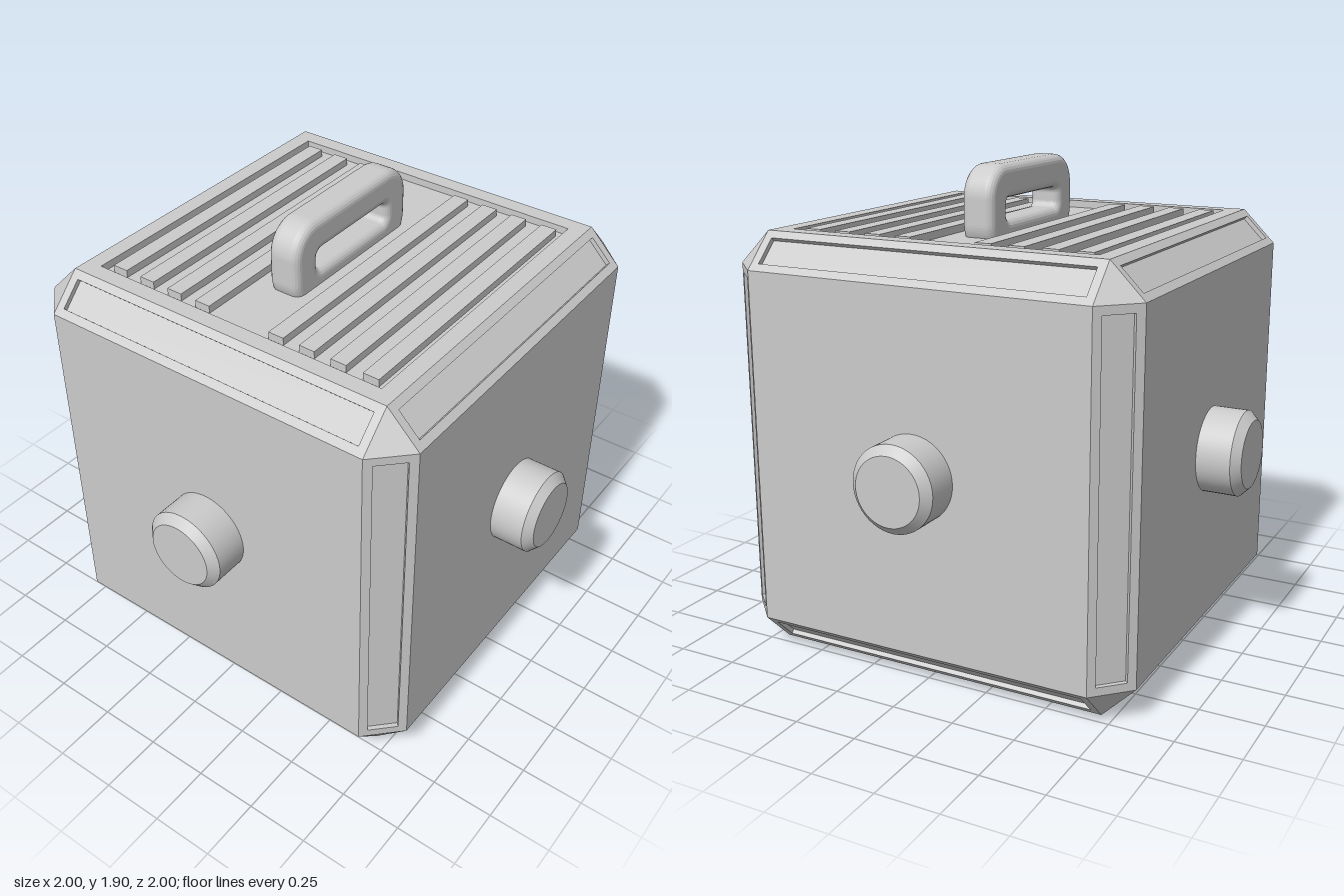
import * as THREE from 'three';

const H = 0.833;   // half size of the cube
const F = 0.7;     // half size of each flat face
const GROOVE = 0.018, TOP_DEPTH = 0.03;
const mat = new THREE.MeshStandardMaterial({ color: 0xcccccc });

function add(parent, name, geometry, x = 0, y = 0, z = 0) {
  const mesh = new THREE.Mesh(geometry, mat);
  mesh.name = name;
  mesh.position.set(x, y, z);
  parent.add(mesh);
  return mesh;
}

// Rounded rectangle outline, centred on the origin
function roundRect(target, hw, hh, r) {
  target.moveTo(hw, -hh + r);
  target.lineTo(hw, hh - r);
  if (r) target.absarc(hw - r, hh - r, r, 0, Math.PI / 2);
  target.lineTo(-hw + r, hh);
  if (r) target.absarc(-hw + r, hh - r, r, Math.PI / 2, Math.PI);
  target.lineTo(-hw, -hh + r);
  if (r) target.absarc(-hw + r, -hh + r, r, Math.PI, Math.PI * 1.5);
  target.lineTo(hw - r, -hh);
  if (r) target.absarc(hw - r, -hh + r, r, Math.PI * 1.5, Math.PI * 2);
  target.closePath();
  return target;
}

// Rectangular frame whose front lies on z = 0, around a sunken floor
function sunkenPanel(name, hw, hh, iw, ih, depth) {
  const group = new THREE.Group();
  group.name = name;
  const shape = roundRect(new THREE.Shape(), hw, hh, 0);
  shape.holes.push(roundRect(new THREE.Path(), iw, ih, 0));
  const frame = new THREE.ExtrudeGeometry(shape, { depth, bevelEnabled: false });
  add(group, name + 'Frame', frame, 0, 0, -depth);
  add(group, name + 'Floor', new THREE.PlaneGeometry(iw * 2, ih * 2), 0, 0, -depth);
  return group;
}

export function createModel() {
  const model = new THREE.Group();
  const body = new THREE.Group();
  body.name = 'body';
  body.position.y = H;
  model.add(body);

  // Three crossing boxes give the six flat faces; the upright one stops at the vent floor
  add(body, 'sideFaces', new THREE.BoxGeometry(H * 2, F * 2, F * 2));
  add(body, 'frontBackFaces', new THREE.BoxGeometry(F * 2, F * 2, H * 2));
  add(body, 'topBottomFaces', new THREE.BoxGeometry(F * 2, H * 2 - TOP_DEPTH, F * 2), 0, -TOP_DEPTH / 2, 0);

  // Twelve chamfered edges with long sunken panels
  const mid = (H + F) / 2, halfWidth = (H - F) / Math.SQRT2;
  for (let axis = 0; axis < 3; axis++) {
    for (const s of [-1, 1]) for (const t of [-1, 1]) {
      const along = new THREE.Vector3().setComponent(axis, 1);
      const normal = new THREE.Vector3()
        .setComponent((axis + 1) % 3, s).setComponent((axis + 2) % 3, t);
      const panel = sunkenPanel('edgePanel', F, halfWidth, 0.667, 0.06, GROOVE);
      panel.position.copy(normal).multiplyScalar(mid);
      normal.normalize();
      const across = new THREE.Vector3().crossVectors(normal, along);
      panel.quaternion.setFromRotationMatrix(new THREE.Matrix4().makeBasis(along, across, normal));
      body.add(panel);
    }
  }

  // Eight triangular corners
  const corners = [];
  for (const x of [-1, 1]) for (const y of [-1, 1]) for (const z of [-1, 1]) {
    const a = [x * H, y * F, z * F], b = [x * F, y * H, z * F], c = [x * F, y * F, z * H];
    corners.push(...a, ...(x * y * z > 0 ? [...b, ...c] : [...c, ...b]));
  }
  const cornerGeometry = new THREE.BufferGeometry();
  cornerGeometry.setAttribute('position', new THREE.Float32BufferAttribute(corners, 3));
  cornerGeometry.computeVertexNormals();
  add(body, 'corners', cornerGeometry);

  // Sunken top vent with four slats on each side of the handle
  const vent = sunkenPanel('topVent', F, F, 0.633, 0.633, TOP_DEPTH);
  vent.rotation.x = -Math.PI / 2;
  vent.position.y = H;
  body.add(vent);
  for (const side of [-1, 1]) for (let i = 0; i < 4; i++) {
    add(body, 'ventSlat', new THREE.BoxGeometry(0.065, TOP_DEPTH, 1.2),
      side * (0.167 + i * 0.1333), H - TOP_DEPTH / 2, 0);
  }

  // Closed handle loop, its lower bar mostly buried in the top
  const bevel = 0.033;
  const loop = roundRect(new THREE.Shape(), 0.35 - bevel, 0.172 - bevel, 0.125 - bevel);
  loop.holes.push(roundRect(new THREE.Path(), 0.217 + bevel, 0.04 + bevel, 0.025 + bevel));
  const handle = new THREE.ExtrudeGeometry(loop, {
    depth: 0.133 - bevel * 2, bevelThickness: bevel, bevelSize: bevel, bevelSegments: 5, curveSegments: 10,
  });
  handle.translate(0, 0, -(0.133 - bevel * 2) / 2);
  handle.rotateY(Math.PI / 2);
  add(model, 'handle', handle, 0, 1.733, 0);

  // Round knob with a chamfered rim on each of the four sides
  for (let i = 0; i < 4; i++) {
    const knob = new THREE.Group();
    knob.name = 'sideKnob';
    add(knob, 'knobBarrel', new THREE.CylinderGeometry(0.167, 0.167, 0.154, 48, 1, true), 0, 0.89, 0);
    add(knob, 'knobRim', new THREE.CylinderGeometry(0.133, 0.167, 0.033, 48), 0, 0.9835, 0);
    knob.rotation.set(Math.PI / 2, 0, i * Math.PI / 2);
    knob.rotation.order = 'YXZ';
    knob.rotation.set(Math.PI / 2, i * Math.PI / 2, 0);
    body.add(knob);
  }
  return model;
}
